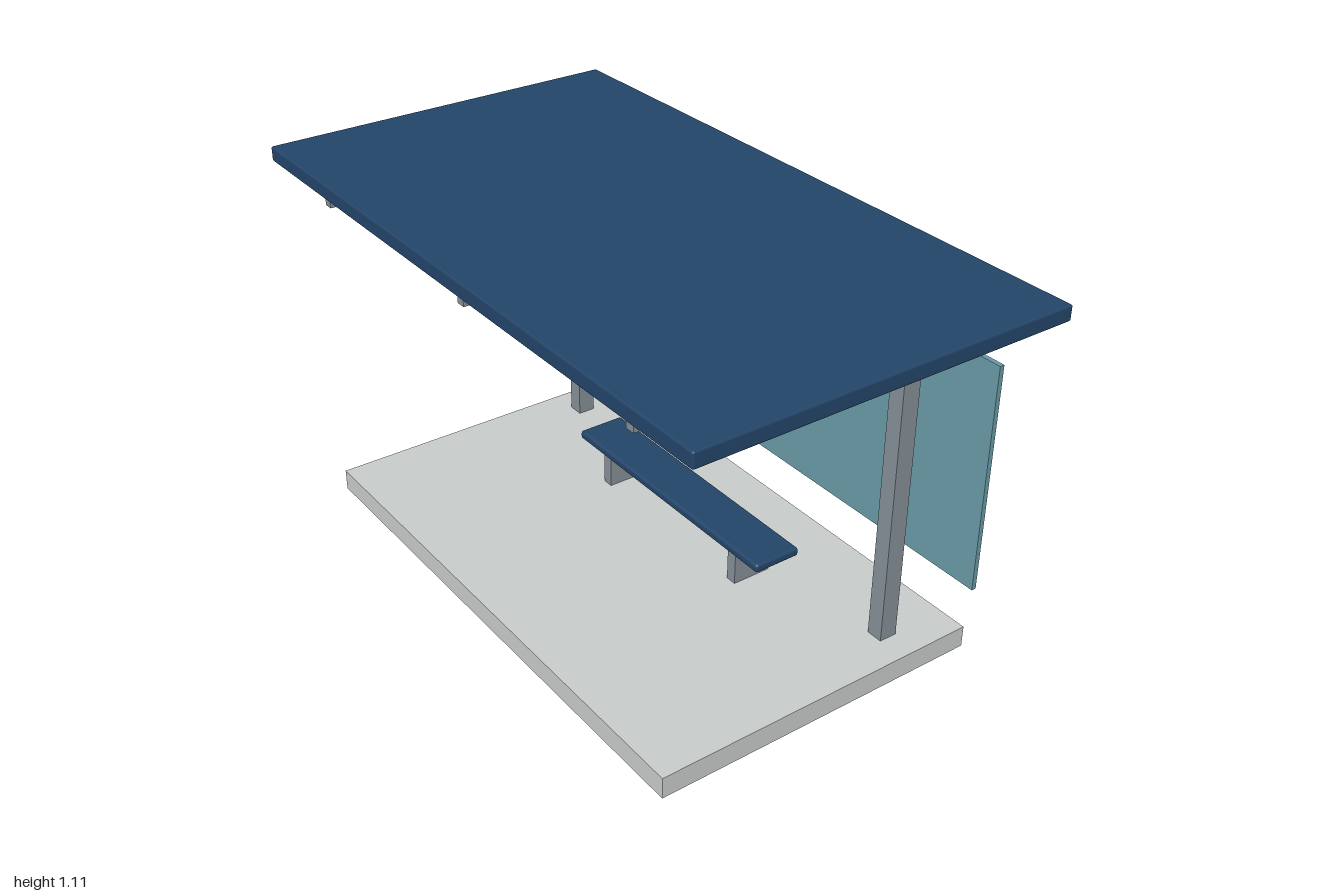
import * as THREE from 'three';
import { RoundedBoxGeometry } from 'three/addons/geometries/RoundedBoxGeometry.js';

const material = (name, color) => {
  const m = new THREE.MeshStandardMaterial({ color });
  m.name = name;
  return m;
};

export function createModel() {
  const navy = material('navy paint', 0x234468);
  const steel = material('grey steel', 0x848f96);
  const concrete = material('pale concrete', 0xc6cac8);
  const glass = material('teal glass', 0x6899a6);

  const model = new THREE.Group();
  model.name = 'shelter';

  const add = (name, geometry, mat, x, y, z) => {
    const mesh = new THREE.Mesh(geometry, mat);
    mesh.name = name;
    mesh.position.set(x, y, z);
    model.add(mesh);
    return mesh;
  };

  // Box given by its centre x, width, and y and z ranges; radius rounds the edges
  const box = (name, mat, x, width, [y0, y1], [z0, z1], radius = 0) => {
    const size = [width, y1 - y0, z1 - z0];
    const geometry = radius
      ? new RoundedBoxGeometry(...size, 3, radius)
      : new THREE.BoxGeometry(...size);
    return add(name, geometry, mat, x, (y0 + y1) / 2, (z0 + z1) / 2);
  };

  // Slab and roof
  box('baseSlab', concrete, 0, 1.674, [0, 0.065], [-0.508, 0.508]);
  box('roof', navy, 0, 2, [1.06, 1.105], [-0.562, 0.562], 0.006);

  // Beams under the roof
  for (const x of [-0.727, 0, 0.727]) {
    box('roofBeam', steel, x, 0.028, [1.007, 1.06], [-0.526, 0.526]);
  }

  // Bench seat
  box('benchSeat', navy, 0, 0.866, [0.17, 0.197], [-0.256, -0.106], 0.009);

  for (const side of [-1, 1]) {
    // Post with a round brace running forward up into the beam
    box('post', steel, side * 0.727, 0.05, [0.065, 1.06], [-0.336, -0.281]);
    const start = new THREE.Vector3(side * 0.727, 0.894, -0.305);
    const end = new THREE.Vector3(side * 0.727, 1.022, 0.125);
    const span = end.clone().sub(start);
    const brace = add('brace', new THREE.CylinderGeometry(0.0125, 0.0125, span.length(), 16),
      steel, ...start.clone().add(end).multiplyScalar(0.5));
    brace.quaternion.setFromUnitVectors(new THREE.Vector3(0, 1, 0), span.normalize());

    // Bench leg and rear pane
    box('benchLeg', steel, side * 0.306, 0.034, [0.065, 0.172], [-0.242, -0.12]);
    box('glassPane', glass, side * 0.4645, 0.893, [0.266, 0.937], [-0.45, -0.436]);
  }

  return model;
}
